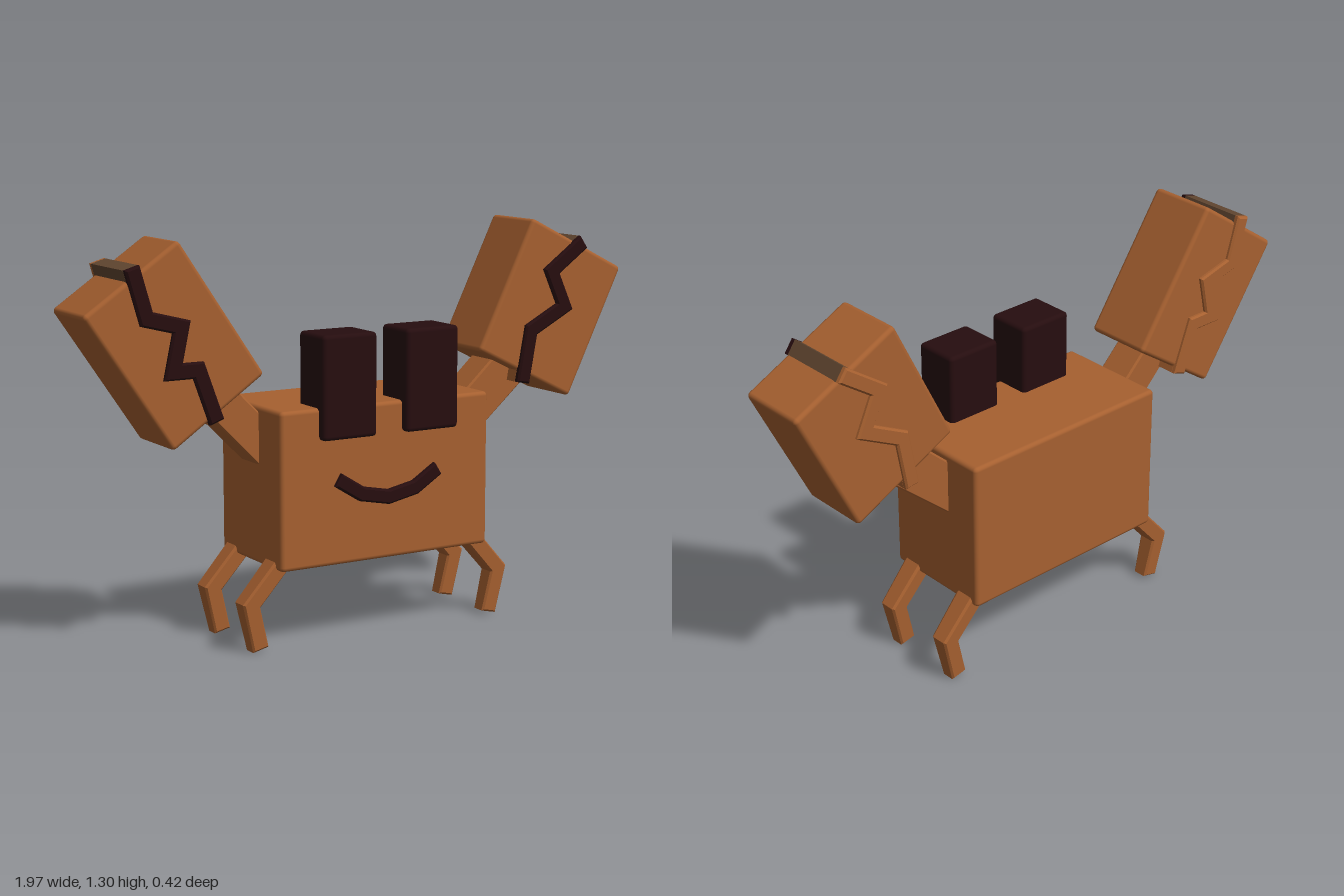
import * as THREE from 'three';
import { RoundedBoxGeometry } from 'three/addons/geometries/RoundedBoxGeometry.js';

const material = (name, color) => {
  const m = new THREE.MeshStandardMaterial({ color });
  m.name = name;
  return m;
};

export function createModel() {
  const model = new THREE.Group();
  model.name = 'crab';
  const shell = material('shell brown', 0xa66030);
  const dark = material('dark maroon', 0x260d0f);
  const seam = material('seam brown', 0x614630);

  const add = (parent, name, geometry, mat) => {
    const mesh = new THREE.Mesh(geometry, mat);
    mesh.name = name;
    parent.add(mesh);
    return mesh;
  };

  // Softly rounded box
  const box = (parent, name, size, pos, mat, turn = 0) => {
    const mesh = add(parent, name, new RoundedBoxGeometry(...size, 2, 0.014), mat);
    mesh.position.set(...pos);
    mesh.rotation.z = turn;
    return mesh;
  };

  // Polygon in x, y extruded between two z values, with a small bevel
  const slab = (points, z0, z1, bevel = 0.006) => {
    const shape = new THREE.Shape(points.map(([x, y]) => new THREE.Vector2(x, y)));
    const geometry = new THREE.ExtrudeGeometry(shape, {
      depth: z1 - z0 - 2 * bevel, bevelEnabled: bevel > 0, bevelSize: bevel,
      bevelThickness: bevel, bevelOffset: -bevel, bevelSegments: 1,
    });
    return geometry.translate(0, 0, z0 + bevel);
  };

  // Outline of a polyline given a width, with mitred corners
  const stroke = (path, width) => {
    const p = path.map(([x, y]) => new THREE.Vector2(x, y));
    const normal = (a, b) => new THREE.Vector2(a.y - b.y, b.x - a.x).normalize();
    const upper = [], lower = [];
    p.forEach((v, i) => {
      const n0 = normal(p[Math.max(i - 1, 0)], p[Math.max(i, 1)]);
      const n1 = i < p.length - 1 ? normal(v, p[i + 1]) : n0;
      const m = n0.clone().add(n1).normalize();
      m.multiplyScalar(width / 2 / Math.max(m.dot(n0), 0.6));
      upper.push([v.x + m.x, v.y + m.y]);
      lower.unshift([v.x - m.x, v.y - m.y]);
    });
    return [...upper, ...lower];
  };

  // Body, eyes and smile
  box(model, 'body', [0.77, 0.505, 0.39], [0, 0.513, -0.015], shell);
  for (const [side, s] of [['left', 1], ['right', -1]]) {
    box(model, side + 'Eye', [0.195, 0.33, 0.155], [s * 0.152, 0.83, 0.133], dark);
  }
  const smile = [[-0.185, 0.535], [-0.1, 0.482], [0, 0.462], [0.1, 0.482], [0.185, 0.535]];
  add(model, 'mouth', slab(stroke(smile, 0.046), 0.17, 0.198), dark);

  // Arms and claws, each claw crossed by a zigzag band
  const claws = [
    {
      side: 'left', size: [0.41, 0.475, 0.235], pos: [0.703, 1.005, -0.027], turn: -0.46,
      arm: [[0.36, 0.535], [0.64, 0.775], [0.56, 0.9], [0.36, 0.72]],
      zigzag: [[0.825, 1.222], [0.695, 1.13], [0.75, 1.01], [0.615, 0.94], [0.583, 0.765]],
    },
    {
      side: 'right', size: [0.38, 0.515, 0.235], pos: [-0.69, 0.98, -0.027], turn: 0.595,
      arm: [[-0.36, 0.555], [-0.36, 0.725], [-0.52, 0.885], [-0.62, 0.815]],
      zigzag: [[-0.835, 1.225], [-0.79, 1.07], [-0.675, 1.04], [-0.705, 0.905], [-0.62, 0.905], [-0.56, 0.74]],
    },
  ];
  for (const { side, size, pos, turn, arm, zigzag } of claws) {
    const group = new THREE.Group();
    group.name = side + 'Pincer';
    model.add(group);
    add(group, side + 'Arm', slab(arm.slice().reverse(), -0.08, 0.04), shell);
    box(group, side + 'Claw', size, pos, shell, turn);
    add(group, side + 'ClawCrack', slab(stroke(zigzag, 0.05), 0.08, 0.105), dark);
    add(group, side + 'ClawBandBack', slab(stroke(zigzag, 0.05), -0.158, -0.135), shell);
    add(group, side + 'ClawBandTop', slab(stroke(zigzag.slice(0, 2), 0.05), -0.14, 0.085, 0), seam);
    add(group, side + 'ClawBandBottom', slab(stroke(zigzag.slice(-2), 0.05), -0.14, 0.085, 0), shell);
  }

  // Four bent legs, thinner toward the foot
  const legPath = [[0.345, 0.29], [0.466, 0.155], [0.432, 0.01]];
  for (const [side, s] of [['left', 1], ['right', -1]]) {
    for (const [end, z] of [['Front', 0.107], ['Back', -0.15]]) {
      const path = legPath.map(([x, y]) => [s * x, y]);
      const geometry = slab(stroke(path, 0.056), -0.026, 0.026);
      const p = geometry.attributes.position;
      for (let i = 0; i < p.count; i++) {
        p.setZ(i, p.getZ(i) * (1 + 1.5 * Math.max(p.getY(i), 0)));
        p.setY(i, Math.max(p.getY(i), 0));
      }
      geometry.computeVertexNormals();
      add(model, side + end + 'Leg', geometry, shell).position.z = z;
    }
  }
  return model;
}
